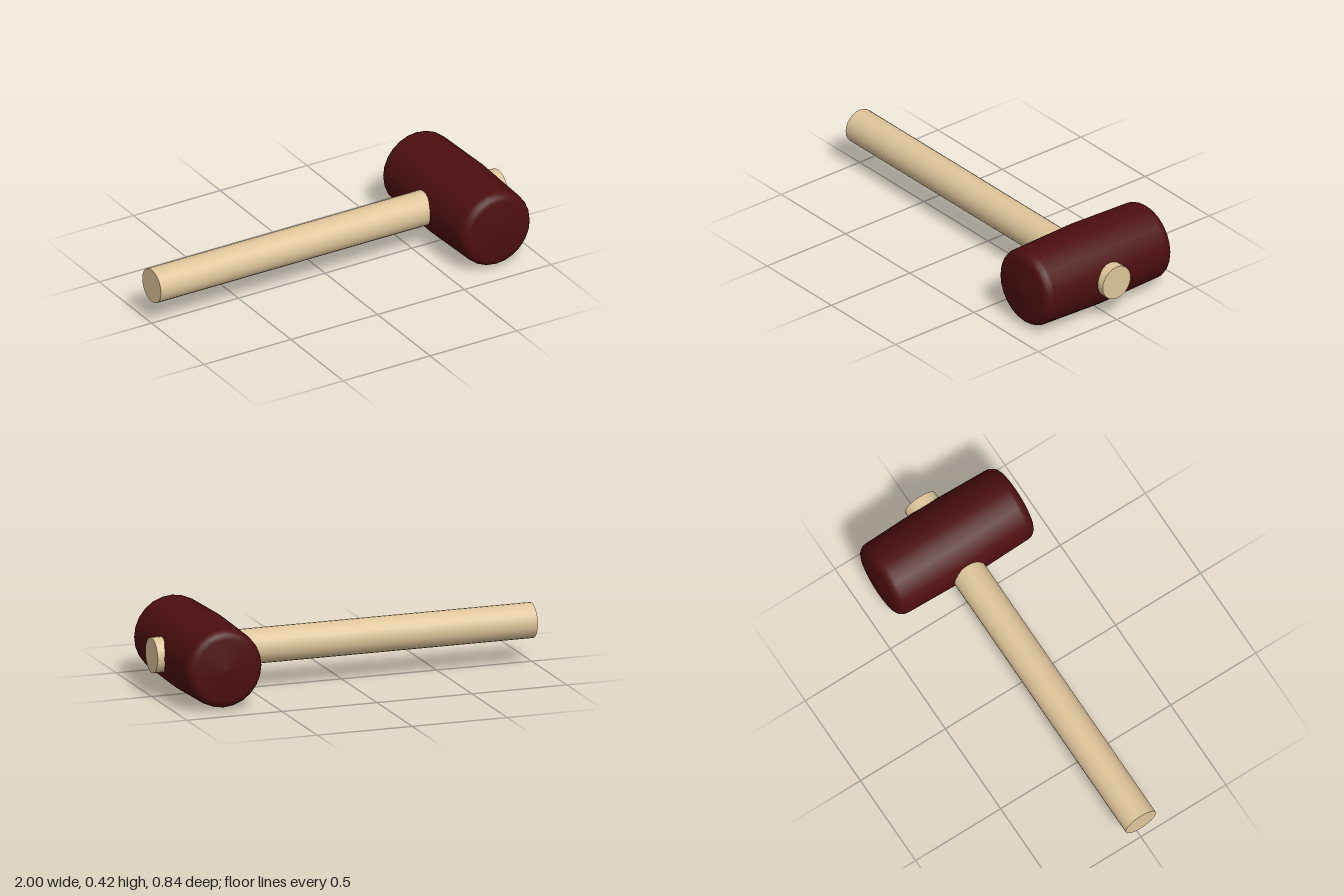
import * as THREE from 'three';

export function createModel() {
  const model = new THREE.Group();
  model.name = 'mallet';

  const rubber = new THREE.MeshStandardMaterial({ color: 0x4d0e10 });
  rubber.name = 'dark red rubber';
  const wood = new THREE.MeshStandardMaterial({ color: 0xdec59a });
  wood.name = 'pale wood';

  const axisY = 0.21;

  // Head: slightly bulging barrel with rounded rims and shallow conical faces
  const half = [
    [0.21, 0], [0.2, 0.352], [0.198, 0.368], [0.19, 0.384],
    [0.18, 0.394], [0.168, 0.4], [0.155, 0.403], [0, 0.421],
  ];
  const profile = [
    ...half.slice(1).reverse().map(([r, z]) => new THREE.Vector2(r, -z)),
    ...half.map(([r, z]) => new THREE.Vector2(r, z)),
  ];
  const head = new THREE.Mesh(new THREE.LatheGeometry(profile, 24), rubber);
  head.name = 'head';
  head.rotation.x = Math.PI / 2;
  head.position.set(0.757, axisY, 0);
  model.add(head);

  // Handle: straight round rod passing right through the head
  const handle = new THREE.Mesh(new THREE.CylinderGeometry(0.089, 0.089, 2, 24), wood);
  handle.name = 'handle';
  handle.rotation.z = Math.PI / 2;
  handle.position.y = axisY;
  model.add(handle);

  return model;
}
